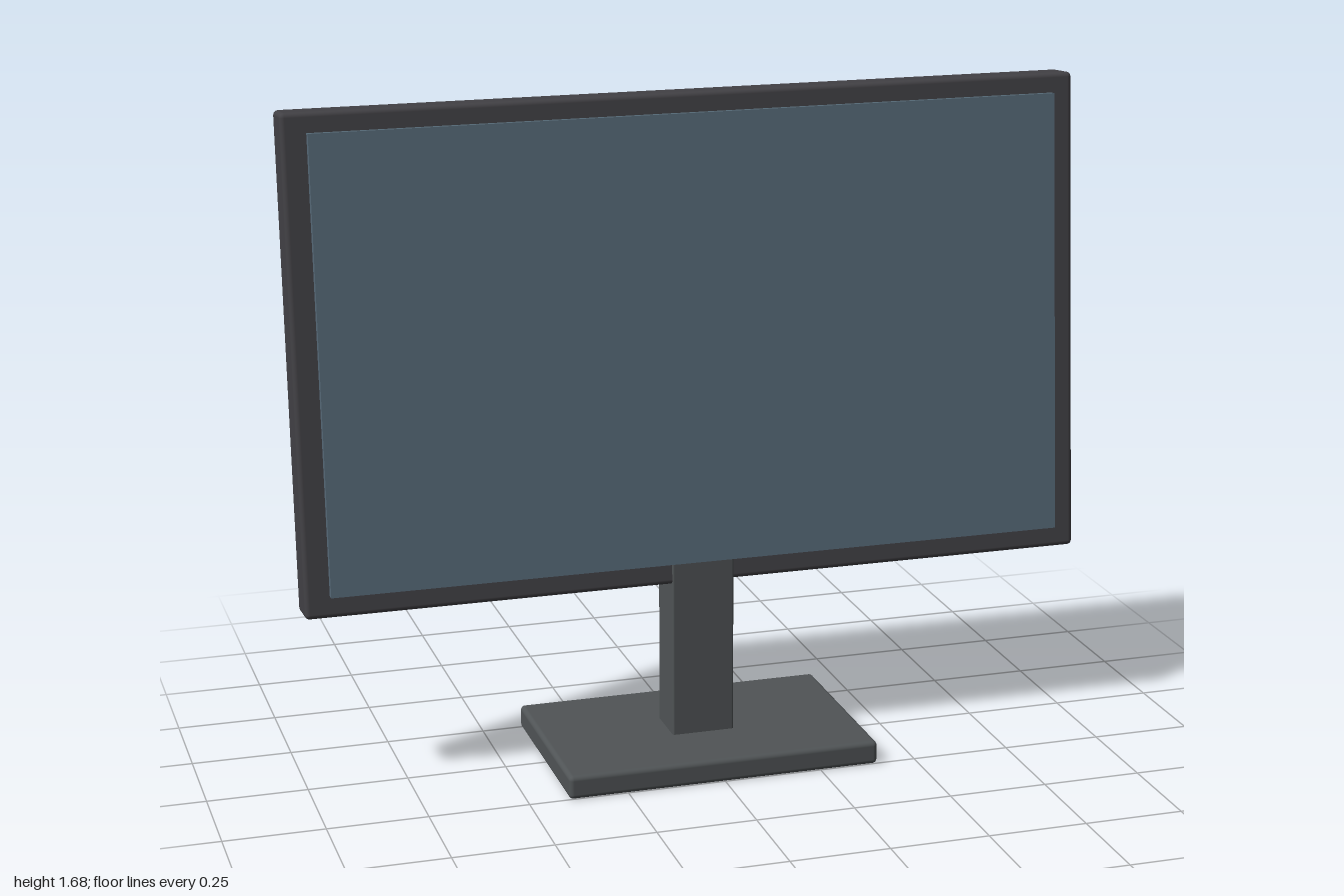
import * as THREE from 'three';
import { RoundedBoxGeometry } from 'three/addons/geometries/RoundedBoxGeometry.js';

const material = (color) => new THREE.MeshStandardMaterial({ color });

function part(name, geometry, mat, x, y, z) {
  const mesh = new THREE.Mesh(geometry, mat);
  mesh.name = name;
  mesh.position.set(x, y, z);
  return mesh;
}

export function createModel() {
  const model = new THREE.Group();
  model.name = 'monitor';
  const dark = material(0x424145);
  const stand = material(0x505456);
  const glass = material(0x566a78);

  // Stand: flat foot and upright neck that runs into the housing
  model.add(part('base', new RoundedBoxGeometry(0.8, 0.06, 0.51, 3, 0.012), stand, 0, 0.03, 0));
  model.add(part('neck', new RoundedBoxGeometry(0.16, 0.61, 0.125, 2, 0.005), stand, 0, 0.355, 0));

  // Display: housing and raised screen, leaning back together
  const display = new THREE.Group();
  display.name = 'display';
  display.position.set(0, 1.065, -0.0425);
  display.rotation.x = THREE.MathUtils.degToRad(-5);
  display.add(part('housing', new RoundedBoxGeometry(2, 1.22, 0.1, 3, 0.012), dark, 0, 0, 0));
  display.add(part('screen', new THREE.BoxGeometry(1.88, 1.115, 0.02), glass, 0, 0.004, 0.0675));
  model.add(display);

  return model;
}
